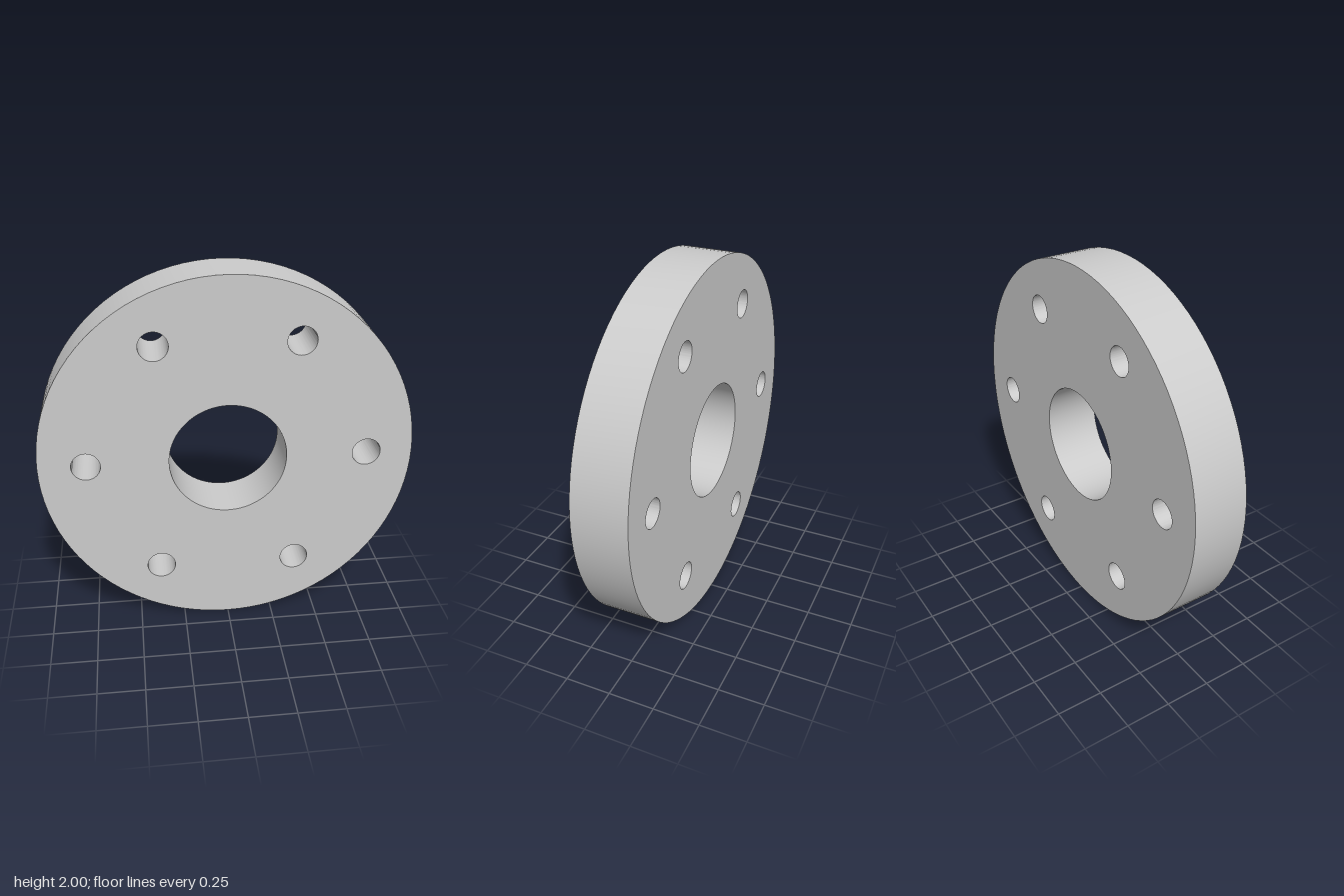
import * as THREE from 'three';
import { toCreasedNormals } from 'three/addons/utils/BufferGeometryUtils.js';

const RADIUS = 1, THICKNESS = 0.3;
const BORE_RADIUS = 0.314;
const BOLT_COUNT = 6, BOLT_CIRCLE = 0.75, BOLT_RADIUS = 0.077;

const circle = (path, x, y, r) => path.absarc(x, y, r, 0, Math.PI * 2, false);

export function createModel() {
  const group = new THREE.Group();
  group.name = 'flange';

  // Round plate outline with the central bore
  const outline = circle(new THREE.Shape(), 0, 0, RADIUS);
  outline.holes.push(circle(new THREE.Path(), 0, 0, BORE_RADIUS));

  // Ring of bolt holes
  for (let i = 0; i < BOLT_COUNT; i++) {
    const a = (i / BOLT_COUNT) * Math.PI * 2;
    outline.holes.push(circle(new THREE.Path(),
      BOLT_CIRCLE * Math.cos(a), BOLT_CIRCLE * Math.sin(a), BOLT_RADIUS));
  }

  // Smooth walls, sharp rims
  const plate = new THREE.ExtrudeGeometry(outline, {
    depth: THICKNESS, bevelEnabled: false, curveSegments: 48,
  });
  plate.translate(0, RADIUS, -THICKNESS / 2);

  const mesh = new THREE.Mesh(
    toCreasedNormals(plate, Math.PI / 6),
    new THREE.MeshStandardMaterial({ color: 0xcccccc }),
  );
  mesh.name = 'flangePlate';
  group.add(mesh);
  return group;
}
